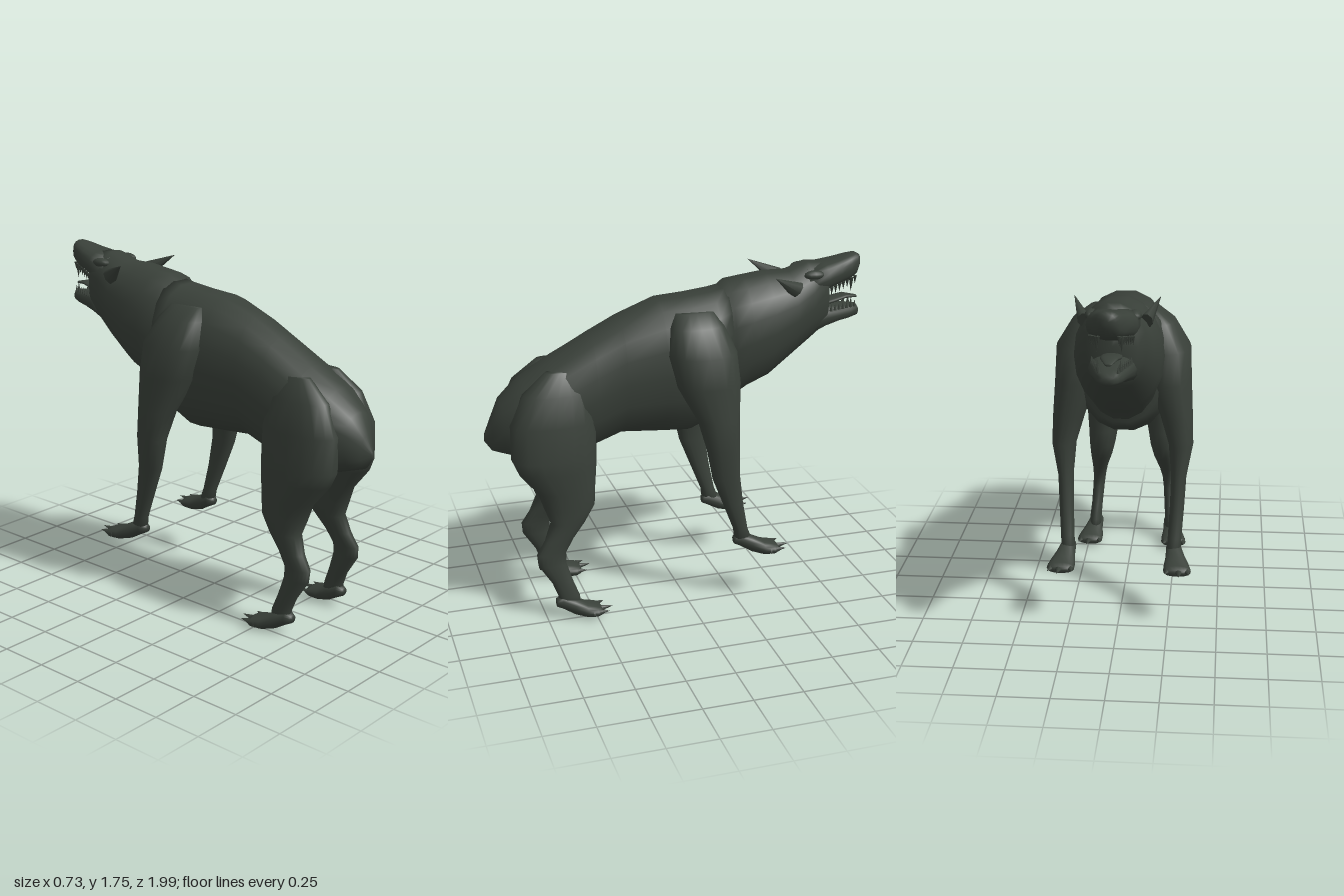
import * as THREE from 'three';

const fur = new THREE.MeshStandardMaterial({ color: 0x394039 });
fur.name = 'darkFur';

// Loft through oval rings: [centre, halfU, halfV]; U is x, V is the given axis.
function loft(rings, axis, square = 1, n = 18) {
  const pos = [], idx = [];
  const bend = (v) => Math.sign(v) * Math.pow(Math.abs(v), square);
  for (const [c, u, v] of rings) {
    for (let i = 0; i < n; i++) {
      const a = (i / n) * Math.PI * 2;
      const p = [c[0] + u * bend(Math.cos(a)), c[1], c[2]];
      p[axis] += v * bend(Math.sin(a));
      pos.push(...p);
    }
  }
  const last = (rings.length - 1) * n, capA = rings.length * n, capB = capA + 1;
  pos.push(...rings[0][0], ...rings[rings.length - 1][0]);
  for (let r = 0; r < rings.length - 1; r++) {
    for (let i = 0; i < n; i++) {
      const a = r * n + i, b = r * n + ((i + 1) % n);
      idx.push(a, b, b + n, a, b + n, a + n);
    }
  }
  for (let i = 0; i < n; i++) {
    const j = (i + 1) % n;
    idx.push(capA, j, i, capB, last + i, last + j);
  }
  // Turn the surface outward whichever way the rings run
  let volume = 0;
  const A = new THREE.Vector3(), B = new THREE.Vector3(), C = new THREE.Vector3();
  for (let i = 0; i < idx.length; i += 3) {
    A.fromArray(pos, idx[i] * 3);
    B.fromArray(pos, idx[i + 1] * 3);
    C.fromArray(pos, idx[i + 2] * 3);
    volume += A.dot(B.cross(C));
  }
  if (volume < 0) idx.reverse();
  const g = new THREE.BufferGeometry();
  g.setAttribute('position', new THREE.Float32BufferAttribute(pos, 3));
  g.setIndex(idx);
  g.computeVertexNormals();
  return g;
}

function add(parent, name, geometry) {
  const m = new THREE.Mesh(geometry, fur);
  m.name = name;
  parent.add(m);
  return m;
}

// Rings along z: [z, top, bottom, halfWidth, x]
const along = (rows, square) => loft(rows.map(([z, t, b, w, x = 0]) =>
  [[x, (t + b) / 2, z], w, (t - b) / 2]), 1, square);

// Rings up a leg: [y, inner x, outer x, front z, back z]
const limb = (rows, s) => loft(rows.map(([y, xi, xo, zf, zb]) =>
  [[s * (xi + xo) / 2, y, (zf + zb) / 2], (xo - xi) / 2, (zb - zf) / 2]), 2, 0.9);

// Pointed piece running from one point to another
function spike(parent, name, from, to, rx, rz = rx, sides = 6) {
  const a = new THREE.Vector3(...from), d = new THREE.Vector3(...to).sub(a);
  const g = new THREE.ConeGeometry(1, 1, sides).translate(0, 0.5, 0);
  const m = add(parent, name, g);
  m.scale.set(rx, d.length(), rz);
  m.position.copy(a);
  m.quaternion.setFromUnitVectors(new THREE.Vector3(0, 1, 0), d.normalize());
  return m;
}

// Paw with heel, broad pad and three pointed toes
function paw(parent, x, y, heel, s) {
  const g = new THREE.Group();
  g.name = 'paw';
  parent.add(g);
  add(g, 'pad', along([
    [heel, y + 0.105, y + 0.065, 0.025, s * x],
    [heel - 0.03, y + 0.125, y + 0.05, 0.038, s * x],
    [heel - 0.09, y + 0.105, y + 0.015, 0.048, s * (x + 0.01)],
    [heel - 0.15, y + 0.075, y, 0.065, s * (x + 0.02)],
    [heel - 0.2, y + 0.062, y + 0.003, 0.07, s * (x + 0.025)],
    [heel - 0.225, y + 0.05, y + 0.015, 0.06, s * (x + 0.025)],
  ], 0.9));
  for (const [dx, reach] of [[-0.045, 0.255], [0.025, 0.29], [0.075, 0.26]]) {
    spike(g, 'toe', [s * (x + 0.025 + (dx - 0.015) * 0.7), y + 0.033, heel - 0.18],
      [s * (x + 0.01 + dx), y + 0.04, heel - reach], 0.028, 0.024, 7);
  }
}

export function createModel() {
  const model = new THREE.Group();
  model.name = 'snarlingBeast';

  // Rump, back, chest, neck and skull
  add(model, 'body', along([
    [0.995, 0.97, 0.93, 0.008], [0.96, 1.05, 0.88, 0.05], [0.91, 1.15, 0.865, 0.12],
    [0.8, 1.25, 0.83, 0.19], [0.65, 1.34, 0.82, 0.21], [0.45, 1.45, 0.86, 0.2],
    [0.3, 1.525, 0.915, 0.205], [0.1, 1.6, 0.9, 0.235], [-0.05, 1.61, 0.89, 0.25],
    [-0.18, 1.625, 0.95, 0.24], [-0.25, 1.64, 1.0, 0.21],
  ], 0.9));
  add(model, 'neckAndSkull', along([
    [-0.1, 1.59, 1.05, 0.16], [-0.23, 1.635, 1.0, 0.19], [-0.265, 1.665, 1.03, 0.205],
    [-0.35, 1.675, 1.09, 0.22], [-0.47, 1.69, 1.14, 0.21], [-0.6, 1.69, 1.24, 0.185],
    [-0.7, 1.73, 1.31, 0.155], [-0.79, 1.72, 1.375, 0.12],
  ], 0.95));

  // Open mouth
  const mouth = new THREE.Group();
  mouth.name = 'mouth';
  model.add(mouth);
  add(mouth, 'snout', along([
    [-0.68, 1.71, 1.52, 0.13], [-0.79, 1.72, 1.575, 0.118], [-0.87, 1.735, 1.6, 0.095],
    [-0.93, 1.75, 1.615, 0.075], [-0.97, 1.756, 1.64, 0.058], [-0.99, 1.745, 1.68, 0.035],
  ], 0.8));
  add(mouth, 'lowerJaw', along([
    [-0.7, 1.5, 1.34, 0.12], [-0.79, 1.505, 1.38, 0.108], [-0.87, 1.49, 1.4, 0.085],
    [-0.94, 1.485, 1.41, 0.065], [-0.985, 1.48, 1.42, 0.045], [-0.995, 1.465, 1.43, 0.03],
  ], 0.8));
  add(mouth, 'tongue', along([
    [-0.74, 1.51, 1.48, 0.05], [-0.84, 1.525, 1.495, 0.05],
    [-0.92, 1.54, 1.515, 0.042], [-0.99, 1.525, 1.512, 0.015],
  ]));

  for (const s of [1, -1]) {
    // Teeth, with long fangs near the nose
    for (let i = 0; i < 7; i++) {
      const z = -0.81 - i * 0.025, x = s * (0.098 - i * 0.0085), up = 1.59 + i * 0.006;
      const fang = i === 5;
      spike(mouth, 'upperTooth', [x, up + 0.015, z],
        [x, up - (fang ? 0.06 : 0.028), z], fang ? 0.013 : 0.01);
      spike(mouth, 'lowerTooth', [x * 0.92, 1.475, z - 0.005],
        [x * 0.92, fang ? 1.535 : 1.512, z - 0.005], 0.009);
    }
    // Swept-back ear and brow
    spike(model, 'ear', [s * 0.145, 1.62, -0.6], [s * 0.205, 1.705, -0.46], 0.032, 0.045, 8);
    const brow = add(model, 'brow', new THREE.SphereGeometry(1, 12, 8));
    brow.scale.set(0.03, 0.025, 0.055);
    brow.position.set(s * 0.1, 1.675, -0.71);

    // Front leg with shoulder
    const front = new THREE.Group();
    front.name = 'frontLeg';
    model.add(front);
    add(front, 'shoulderAndLeg', limb([
      [1.55, 0.1, 0.18, -0.16, 0.04], [1.49, 0.08, 0.26, -0.2, 0.08],
      [1.36, 0.08, 0.34, -0.255, 0.1], [1.2, 0.12, 0.346, -0.27, 0.06],
      [1.02, 0.19, 0.355, -0.255, -0.04], [0.87, 0.235, 0.36, -0.25, -0.08],
      [0.7, 0.25, 0.328, -0.26, -0.115], [0.55, 0.247, 0.32, -0.28, -0.175],
      [0.4, 0.24, 0.31, -0.31, -0.235], [0.32, 0.235, 0.305, -0.34, -0.245],
    ], s));
    paw(front, 0.27, 0.25, -0.24, s);

    // Hind leg with haunch and hock
    const hind = new THREE.Group();
    hind.name = 'hindLeg';
    model.add(hind);
    add(hind, 'haunchAndLeg', limb([
      [1.3, 0.08, 0.15, 0.56, 0.7], [1.2, 0.05, 0.215, 0.49, 0.82],
      [1.05, 0.04, 0.25, 0.46, 0.89], [0.87, 0.045, 0.262, 0.46, 0.89],
      [0.8, 0.06, 0.26, 0.465, 0.86], [0.69, 0.085, 0.25, 0.475, 0.77],
      [0.6, 0.1, 0.245, 0.48, 0.74], [0.52, 0.12, 0.24, 0.53, 0.71],
      [0.43, 0.15, 0.235, 0.6, 0.745], [0.36, 0.165, 0.235, 0.64, 0.79],
      [0.3, 0.172, 0.237, 0.64, 0.785], [0.2, 0.18, 0.242, 0.61, 0.72],
      [0.12, 0.185, 0.25, 0.58, 0.69], [0.06, 0.185, 0.25, 0.57, 0.68],
    ], s));
    paw(hind, 0.215, 0, 0.7, s);
  }
  return model;
}
